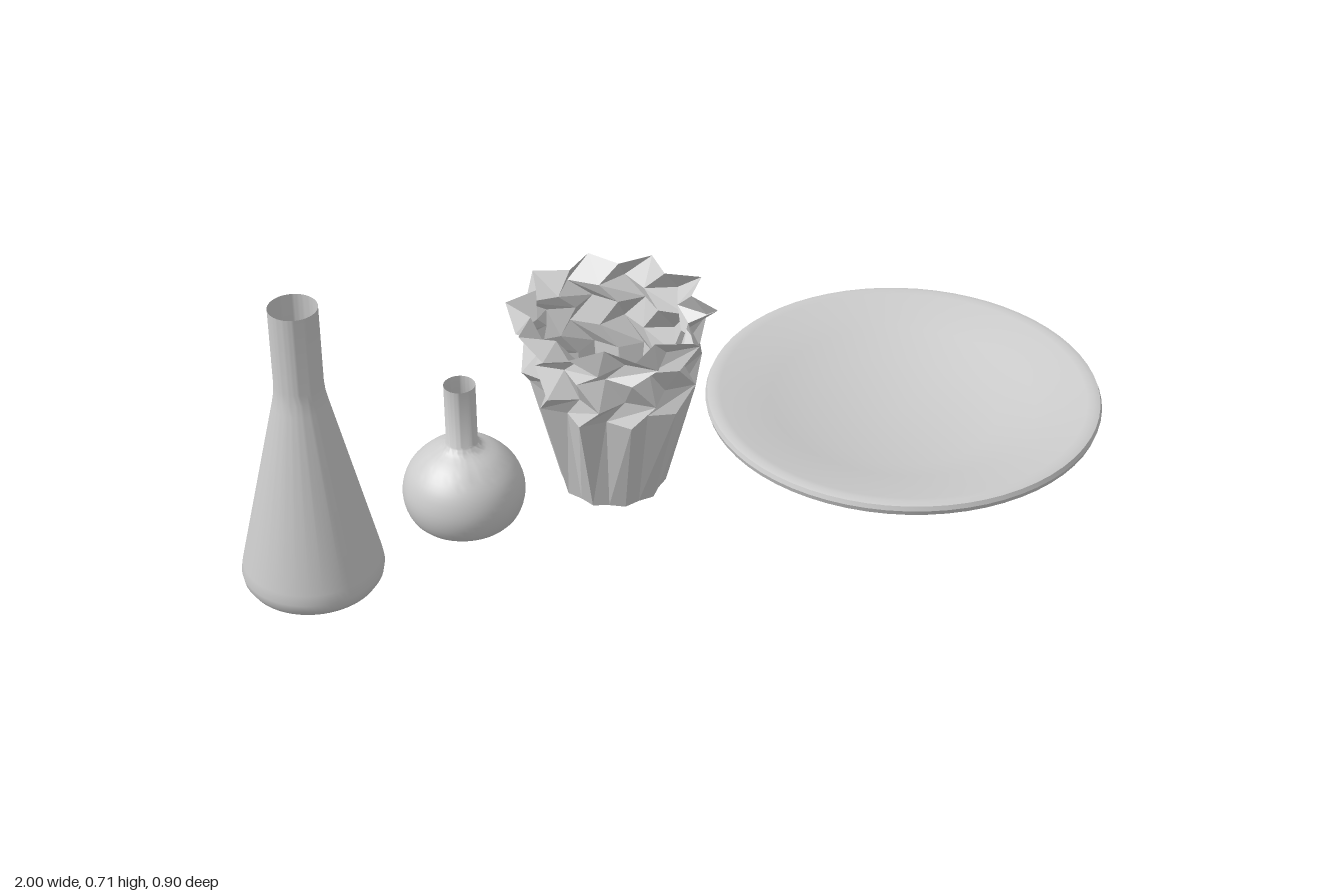
import * as THREE from 'three';
import { toCreasedNormals } from 'three/addons/utils/BufferGeometryUtils.js';

const smooth = new THREE.MeshStandardMaterial({ color: 0xcccccc, side: THREE.DoubleSide });
const faceted = new THREE.MeshStandardMaterial({ color: 0xcccccc, side: THREE.DoubleSide, flatShading: true });

// Turned piece from a [radius, y] profile, placed at x, z
function turned(name, profile, x, z) {
  const points = profile.map(([r, y]) => new THREE.Vector2(r, y));
  const geometry = toCreasedNormals(new THREE.LatheGeometry(points, 64), 0.6);
  const mesh = new THREE.Mesh(geometry, smooth);
  mesh.name = name;
  mesh.position.set(x, 0, z);
  return mesh;
}

// Star-shaped vase: rings of alternating tips and valleys, twisted back and forth
function pleatedVase() {
  const pleats = 10, count = pleats * 2;
  // [y, tip radius, valley radius, twist in degrees]
  const rings = [
    [0, 0.117, 0.108, 12],
    [0.25, 0.182, 0.148, 12],
    [0.305, 0.2, 0.158, 27],
    [0.365, 0.192, 0.155, 12],
    [0.405, 0.21, 0.163, 27],
    [0.45, 0.23, 0.178, 12],
  ];
  const positions = [], index = [];
  for (const [y, tip, valley, twist] of rings) {
    for (let i = 0; i < count; i++) {
      const a = THREE.MathUtils.degToRad(twist + (i * 360) / count);
      const r = i % 2 ? valley : tip;
      positions.push(r * Math.cos(a), y, -r * Math.sin(a));
    }
  }
  for (let k = 0; k < rings.length - 1; k++) {
    for (let i = 0; i < count; i++) {
      const a = k * count + i, b = k * count + ((i + 1) % count);
      index.push(a, b, b + count, a, b + count, a + count);
    }
  }
  // Floor
  const centre = positions.length / 3;
  positions.push(0, 0, 0);
  for (let i = 0; i < count; i++) index.push(centre, (i + 1) % count, i);

  const geometry = new THREE.BufferGeometry();
  geometry.setAttribute('position', new THREE.Float32BufferAttribute(positions, 3));
  geometry.setIndex(index);
  geometry.computeVertexNormals();
  const mesh = new THREE.Mesh(geometry, faceted);
  mesh.name = 'pleatedVase';
  mesh.position.set(-0.122, 0, -0.065);
  return mesh;
}

export function createModel() {
  const group = new THREE.Group();
  group.name = 'tableware';

  // Tall conical bottle with a straight neck
  group.add(turned('conicalBottle', [
    [0, 0.034], [0.122, 0.034], [0.138, 0.041], [0.147, 0.055], [0.15, 0.072], [0.146, 0.095],
    [0.058, 0.48], [0.053, 0.505], [0.051, 0.53], [0.051, 0.708],
  ], -0.85, 0.11));

  // Small round-bellied bottle
  const belly = new THREE.SplineCurve([
    [0.078, 0.022], [0.118, 0.053], [0.133, 0.105], [0.12, 0.157], [0.084, 0.198], [0.045, 0.221], [0.034, 0.235],
  ].map(([r, y]) => new THREE.Vector2(r, y))).getPoints(24).map((p) => [p.x, p.y]);
  group.add(turned('roundBottle', [[0, 0.022], ...belly, [0.034, 0.375]], -0.487, 0.005));

  group.add(pleatedVase());

  // Wide plate with a sunken well
  group.add(turned('plate', [
    [0, 0.022], [0.115, 0.022], [0.135, 0.026], [0.2, 0.045], [0.3, 0.06], [0.4, 0.076], [0.43, 0.086],
    [0.445, 0.097], [0.448, 0.108], [0.444, 0.118], [0.43, 0.122], [0.415, 0.119],
    [0.3, 0.096], [0.215, 0.066], [0, 0.066],
  ], 0.55, 0));

  return group;
}
